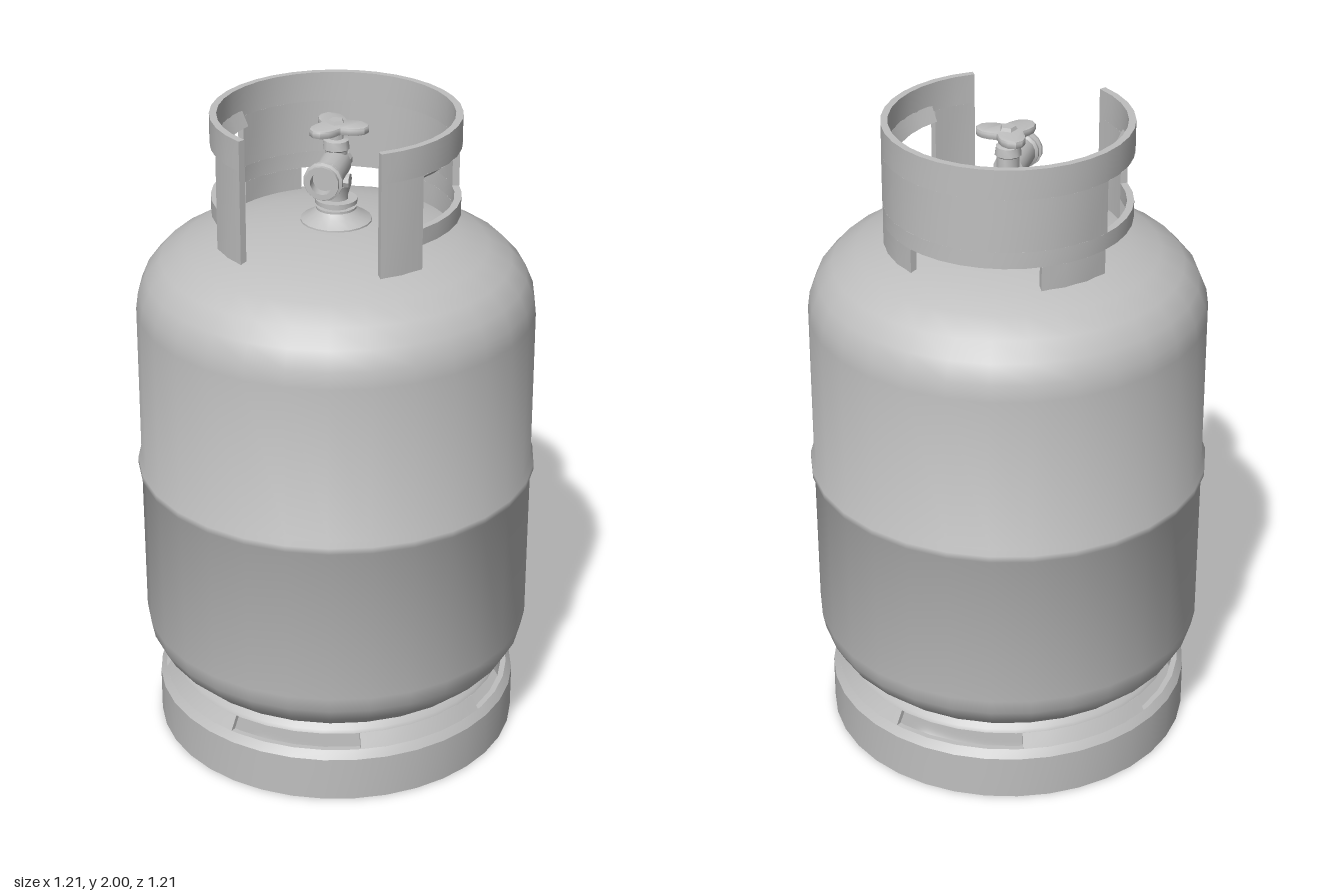
import * as THREE from 'three';
import { mergeGeometries, toCreasedNormals } from 'three/addons/utils/BufferGeometryUtils.js';

const steel = new THREE.MeshStandardMaterial({ color: 0xbfbfbf });
steel.name = 'grey steel';

const vecs = (pts) => pts.map(([x, y]) => new THREE.Vector2(x, y));

function mesh(name, geo, crease = 0.6) {
  const m = new THREE.Mesh(toCreasedNormals(geo, crease), steel);
  m.name = name;
  return m;
}

function lathe(pts, segments) {
  return new THREE.LatheGeometry(vecs(pts), segments);
}

// Sweeps a closed, counter-clockwise [radius, y] section around y.
// Angles are in degrees from the front (+z) towards +x.
function band(section, from, to) {
  const n = section.length;
  const steps = Math.max(2, Math.round((to - from) / 10));
  const pos = [], idx = [];
  for (let i = 0; i <= steps; i++) {
    const a = THREE.MathUtils.degToRad(from + ((to - from) * i) / steps);
    for (const [r, y] of section) pos.push(r * Math.sin(a), y, r * Math.cos(a));
  }
  for (let i = 0; i < steps; i++) {
    for (let j = 0; j < n; j++) {
      const k = (j + 1) % n;
      const a = i * n + j, b = a + n, c = (i + 1) * n + k, d = i * n + k;
      idx.push(a, b, c, a, c, d);
    }
  }
  if (to - from < 360) {
    const last = steps * n;
    for (const [a, b, c] of THREE.ShapeUtils.triangulateShape(vecs(section), [])) {
      idx.push(a, b, c, last + a, last + c, last + b);
    }
  }
  const geo = new THREE.BufferGeometry();
  geo.setAttribute('position', new THREE.Float32BufferAttribute(pos, 3));
  geo.setIndex(idx);
  return geo;
}

// Plain collar wall section between two heights
const wall = (y0, y1) => [[0.345, y0], [0.366, y0], [0.366, y1], [0.345, y1]];

function makeBody() {
  return mesh('tank', lathe([
    [0, 0.16], [0.2, 0.17], [0.35, 0.195], [0.46, 0.222], [0.52, 0.247], [0.56, 0.285],
    [0.585, 0.33], [0.595, 0.38], [0.596, 0.865], [0.606, 0.88], [0.606, 0.9], [0.596, 0.915],
    [0.595, 1.4], [0.588, 1.45], [0.565, 1.505], [0.52, 1.555], [0.45, 1.595],
    [0.36, 1.628], [0.25, 1.652], [0.12, 1.667], [0, 1.67],
  ], 30), 0.75);
}

function makeBase() {
  const base = new THREE.Group();
  base.name = 'baseRing';
  base.add(mesh('footRing', band([
    [0.545, 0], [0.56, 0], [0.56, 0.14], [0.542, 0.165], [0.525, 0.165], [0.545, 0.132],
  ], 0, 360)));
  base.add(mesh('ringTop', band([
    [0.5, 0.207], [0.517, 0.207], [0.512, 0.217], [0.49, 0.235], [0.475, 0.228],
  ], 0, 360)));
  // Four bridges leave a slot at the front, back and each side
  const bridge = [[0.525, 0.165], [0.542, 0.165], [0.517, 0.207], [0.5, 0.207]];
  for (let i = 0; i < 4; i++) base.add(mesh('ringBridge', band(bridge, 22 + i * 90, 68 + i * 90)));
  return base;
}

function makeCollar() {
  const collar = new THREE.Group();
  collar.name = 'collar';
  const add = (name, section, from, to) => collar.add(mesh(name, band(section, from, to)));
  add('collarRim', wall(1.91, 2), 34, 326);
  add('collarLowerBand', wall(1.7, 1.75), 56, 304);
  add('collarBack', wall(1.75, 1.91), 113, 247);
  // Inward-rolled hand grip above each side window
  const grip = [
    [0.322, 1.885], [0.335, 1.885], [0.352, 1.9], [0.366, 1.91],
    [0.345, 1.93], [0.335, 1.91],
  ];
  for (const side of [0, 1]) {
    const part = (name, section, from, to) =>
      side ? add(name, section, 360 - to, 360 - from) : add(name, section, from, to);
    part('frontPost', wall(1.62, 1.91), 34, 56);
    part('backFoot', wall(1.62, 1.7), 114, 148);
    part('handGrip', grip, 58, 112);
  }
  return collar;
}

function makeValve() {
  const valve = new THREE.Group();
  valve.name = 'valve';
  valve.add(mesh('valveFlange', lathe([
    [0.107, 1.655], [0.105, 1.672], [0.075, 1.69], [0.06, 1.705],
    [0.06, 1.712], [0.045, 1.712], [0.045, 1.722], [0.062, 1.722], [0.062, 1.735], [0, 1.735],
  ], 20)));
  valve.add(mesh('valveStem', lathe([
    [0.036, 1.73], [0.036, 1.75], [0.045, 1.78], [0.034, 1.785], [0.034, 1.885],
    [0.04, 1.89], [0.036, 1.915], [0.022, 1.92], [0.022, 1.95], [0, 1.95],
  ], 12)));

  // Threaded outlet facing forward
  const outlet = mesh('valveOutlet', lathe([
    [0, 0], [0.045, 0], [0.045, 0.125], [0.053, 0.13], [0.053, 0.138], [0.046, 0.141],
    [0.046, 0.146], [0.058, 0.149], [0.058, 0.157], [0.05, 0.16], [0.05, 0.172],
    [0.034, 0.172], [0.034, 0.14], [0, 0.14],
  ], 14));
  outlet.rotation.x = Math.PI / 2;
  outlet.position.y = 1.843;
  valve.add(outlet);

  const stub = mesh('reliefStub', new THREE.CylinderGeometry(0.026, 0.026, 0.1, 10));
  stub.rotation.x = Math.PI / 2;
  stub.position.set(0, 1.82, -0.048);
  valve.add(stub);

  const screw = mesh('sideScrew', new THREE.CylinderGeometry(0.022, 0.022, 0.1, 8));
  screw.rotation.z = Math.PI / 2;
  screw.position.set(0, 1.805, 0.035);
  valve.add(screw);

  // Three-lobed hand wheel with a five-sided cap
  const outline = [];
  for (let i = 0; i < 30; i++) {
    const a = (i / 30) * Math.PI * 2;
    const r = 0.065 + 0.026 * Math.cos(3 * a);
    outline.push(new THREE.Vector2(r * Math.cos(a), r * Math.sin(a)));
  }
  const wheel = new THREE.ExtrudeGeometry(new THREE.Shape(outline), {
    depth: 0.012, bevelEnabled: true, bevelThickness: 0.006, bevelSize: 0.006, bevelSegments: 2,
  });
  wheel.rotateX(-Math.PI / 2).translate(0, 1.948, 0);
  const cap = new THREE.CylinderGeometry(0.022, 0.028, 0.012, 5).translate(0, 1.97, 0);
  valve.add(mesh('handWheel', mergeGeometries([wheel, cap.toNonIndexed()])));
  return valve;
}

export function createModel() {
  const model = new THREE.Group();
  model.name = 'gasCylinder';
  model.add(makeBody(), makeBase(), makeCollar(), makeValve());
  return model;
}
